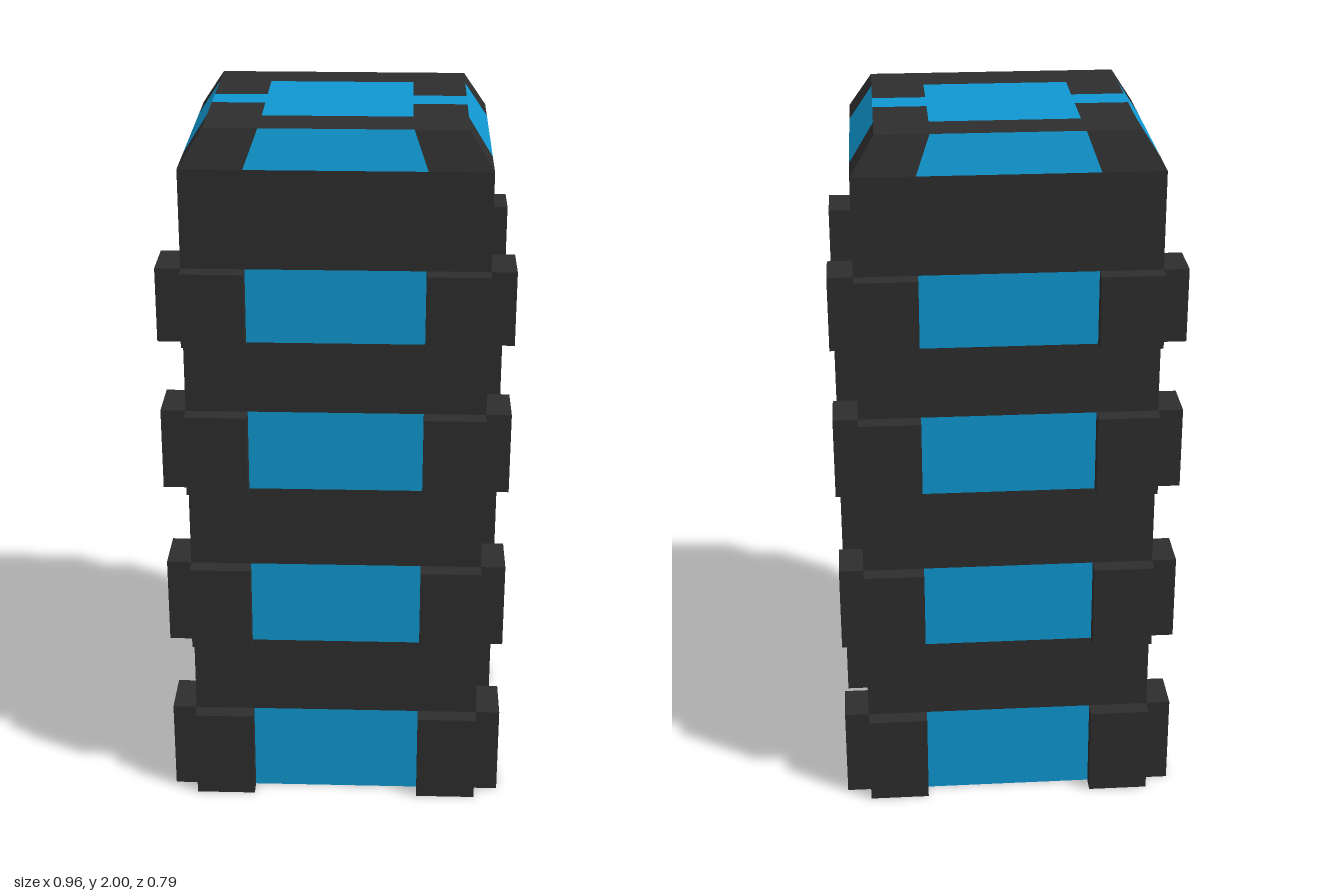
import * as THREE from 'three';

const dark = new THREE.MeshStandardMaterial({ color: 0x2d2d2d });
const blue = new THREE.MeshStandardMaterial({ color: 0x0f97d0 });

const W = 0.41, D = 0.347, H = 1.9;      // half width, half depth, wall height
const TW = 0.345, TD = 0.309, TOP = 2;   // half sizes of the top plate
const bands = [[0, 0.267], [0.5, 0.75], [0.987, 1.22], [1.423, 1.63]];

// A four-cornered face (bottom left, bottom right, top right, top left seen
// from outside) cut at fractions us, vs; isBlue(column, row) picks the colour.
function addFace(group, name, corners, us, vs, isBlue) {
  const [a, b, c, d] = corners.map(p => new THREE.Vector3(...p));
  const at = (u, v) => a.clone().lerp(b, u).lerp(d.clone().lerp(c, u), v).toArray();
  const cells = { dark: [], blue: [] };
  for (let i = 0; i < us.length - 1; i++) {
    for (let j = 0; j < vs.length - 1; j++) {
      const p = at(us[i], vs[j]), q = at(us[i + 1], vs[j]);
      const r = at(us[i + 1], vs[j + 1]), s = at(us[i], vs[j + 1]);
      cells[isBlue(i, j) ? 'blue' : 'dark'].push(...p, ...q, ...r, ...p, ...r, ...s);
    }
  }
  for (const [key, material] of [['dark', dark], ['blue', blue]]) {
    if (!cells[key].length) continue;
    const geo = new THREE.BufferGeometry();
    geo.setAttribute('position', new THREE.Float32BufferAttribute(cells[key], 3));
    geo.computeVertexNormals();
    const mesh = new THREE.Mesh(geo, material);
    mesh.name = name + (key === 'blue' ? 'Inlay' : 'Shell');
    group.add(mesh);
  }
}

function addBox(group, name, x0, x1, y0, y1, z0, z1) {
  const mesh = new THREE.Mesh(new THREE.BoxGeometry(x1 - x0, y1 - y0, z1 - z0), dark);
  mesh.position.set((x0 + x1) / 2, (y0 + y1) / 2, (z0 + z1) / 2);
  mesh.name = name;
  group.add(mesh);
}

// Fractions of a span running from -half to half
const cuts = (half, ...values) => [0, ...values.map(v => (v + half) / (2 * half)), 1];
const middle = i => i === 1;

export function createModel() {
  const model = new THREE.Group();
  model.name = 'bandedTower';
  const body = new THREE.Group();
  body.name = 'body';
  model.add(body);

  // Front and back: blue bands on the wall, one blue panel on the bevel
  const rows = [...bands.flat(), H].map(y => y / H);
  for (const [name, s] of [['front', 1], ['back', -1]]) {
    addFace(body, name + 'Wall',
      [[-W * s, 0, D * s], [W * s, 0, D * s], [W * s, H, D * s], [-W * s, H, D * s]],
      cuts(W, -0.24, 0.24), rows, (i, j) => i === 1 && j % 2 === 0);
    addFace(body, name + 'Bevel',
      [[-W * s, H, D * s], [W * s, H, D * s], [TW * s, TOP, TD * s], [-TW * s, TOP, TD * s]],
      cuts(W, -0.24, 0.24), [0, 1], middle);
  }

  // Sides: a full-height stripe, and a wide blue panel on the bevel
  for (const [name, s] of [['left', 1], ['right', -1]]) {
    const stripe = s > 0 ? [-0.055, 0.05] : [-0.05, 0.055];
    const panel = s > 0 ? [-0.2, 0.215] : [-0.215, 0.2];
    addFace(body, name + 'Wall',
      [[W * s, 0, D * s], [W * s, 0, -D * s], [W * s, H, -D * s], [W * s, H, D * s]],
      cuts(D, ...stripe), [0, 1], middle);
    addFace(body, name + 'Bevel',
      [[W * s, H, D * s], [W * s, H, -D * s], [TW * s, TOP, -TD * s], [TW * s, TOP, TD * s]],
      cuts(D, ...panel), [0, 1], middle);
  }

  // Top plate: a blue square crossed by a narrow stripe
  addFace(body, 'top',
    [[-TW, TOP, TD], [TW, TOP, TD], [TW, TOP, -TD], [-TW, TOP, -TD]],
    cuts(TW, -0.2, 0.2), cuts(TD, -0.18, -0.047, 0.044, 0.194),
    (i, j) => j === 2 || (i === 1 && j > 0 && j < 4));

  // Underside: the side stripes join across it
  addFace(body, 'bottom',
    [[-W, 0, -D], [W, 0, -D], [W, 0, D], [-W, 0, D]],
    [0, 1], cuts(D, -0.05, 0.055), (i, j) => j === 1);

  // Corner lugs: at each band, a pair of blocks wraps every corner
  const lugs = new THREE.Group();
  lugs.name = 'cornerLugs';
  model.add(lugs);
  for (const [y0, y1] of bands) {
    for (const sx of [1, -1]) {
      for (const sz of [1, -1]) {
        const [x0, x1] = [0.24 * sx, W * sx].sort((a, b) => a - b);
        const [z0, z1] = [D * sz, 0.394 * sz].sort((a, b) => a - b);
        addBox(lugs, sz > 0 ? 'frontLug' : 'backLug', x0, x1, y0, y1, z0, z1);
        const [u0, u1] = [W * sx, 0.479 * sx].sort((a, b) => a - b);
        const [w0, w1] = sz > 0 ? [0.203, D] : [-D, -0.219];
        addBox(lugs, sx > 0 ? 'leftLug' : 'rightLug', u0, u1, y0, y1, w0, w1);
      }
    }
  }
  return model;
}
